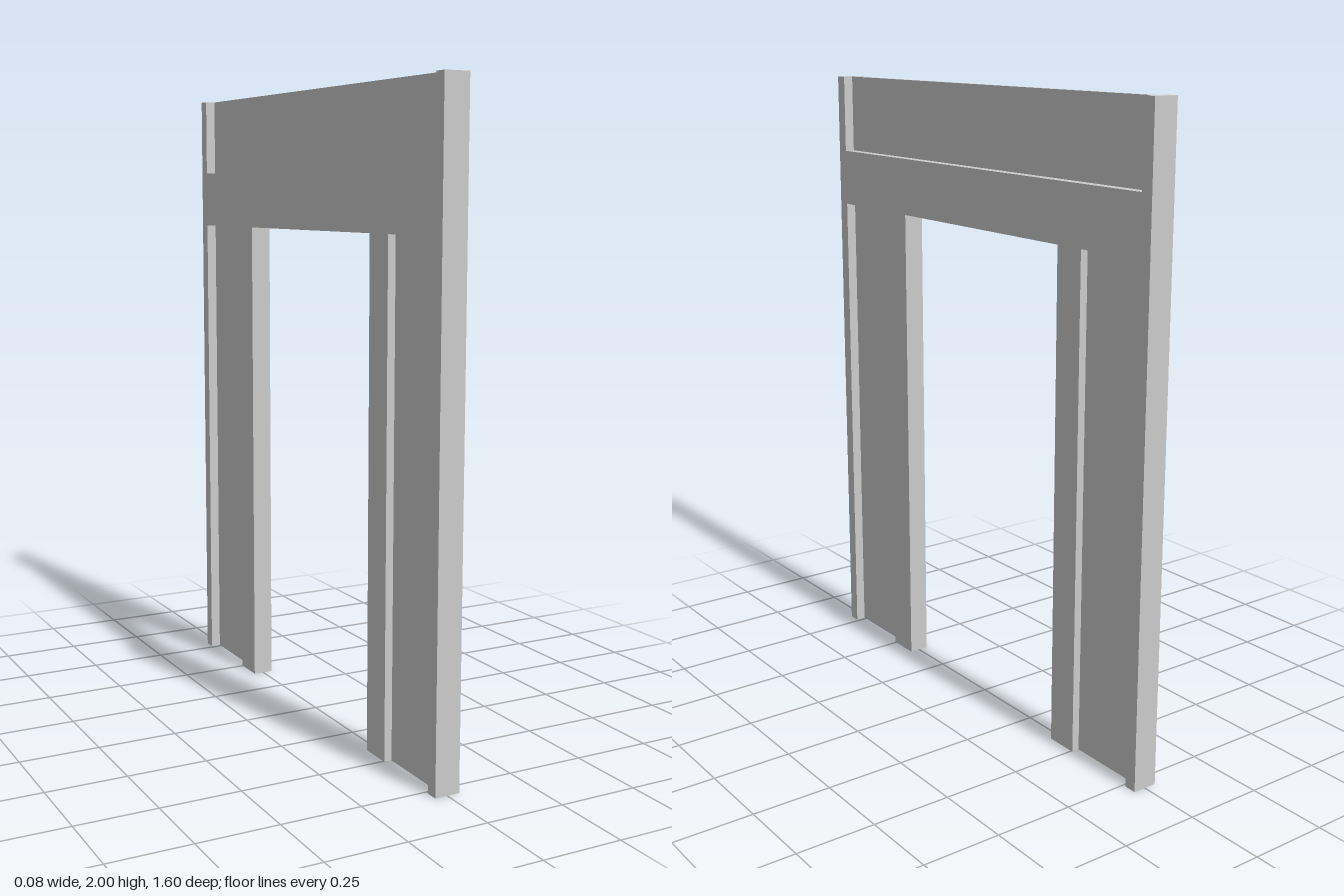
import * as THREE from 'three';

const material = new THREE.MeshStandardMaterial({ color: 0xcccccc });

export function createModel() {
  const model = new THREE.Group();
  model.name = 'doorFrame';

  const halfWidth = 0.8, postInner = 0.76, opening = 0.4, jambOuter = 0.505;
  const height = 2, beamBottom = 1.567, beamTop = 1.75;
  const frameDepth = 0.08, jambDepth = 0.066, panelDepth = 0.016;

  // Box given by its extents across the wall (z) and in height (y)
  function slab(name, z0, z1, y0, y1, depth) {
    const mesh = new THREE.Mesh(new THREE.BoxGeometry(depth, y1 - y0, z1 - z0), material);
    mesh.position.set(0, (y0 + y1) / 2, (z0 + z1) / 2);
    mesh.name = name;
    model.add(mesh);
  }

  // Outer posts and lintel beam: one flush H-shaped frame
  const outline = [
    [-halfWidth, 0], [-postInner, 0], [-postInner, beamBottom],
    [postInner, beamBottom], [postInner, 0], [halfWidth, 0],
    [halfWidth, height], [postInner, height], [postInner, beamTop],
    [-postInner, beamTop], [-postInner, height], [-halfWidth, height],
  ];
  const shape = new THREE.Shape(outline.map(([z, y]) => new THREE.Vector2(z, y)));
  const geometry = new THREE.ExtrudeGeometry(shape, { depth: frameDepth, bevelEnabled: false });
  geometry.translate(0, 0, -frameDepth / 2).rotateY(Math.PI / 2);
  const frame = new THREE.Mesh(geometry, material);
  frame.name = 'postsAndLintel';
  model.add(frame);

  // Thin panel above the lintel
  slab('transomPanel', -postInner, postInner, beamTop, height, panelDepth);

  // Side panels and inner jambs on both sides of the opening
  for (const [side, s] of [['front', 1], ['back', -1]]) {
    const span = (a, b) => (s > 0 ? [a, b] : [-b, -a]);
    slab(side + 'SidePanel', ...span(jambOuter, postInner), 0, beamBottom, panelDepth);
    slab(side + 'Jamb', ...span(opening, jambOuter), 0, beamBottom, jambDepth);
  }

  return model;
}
